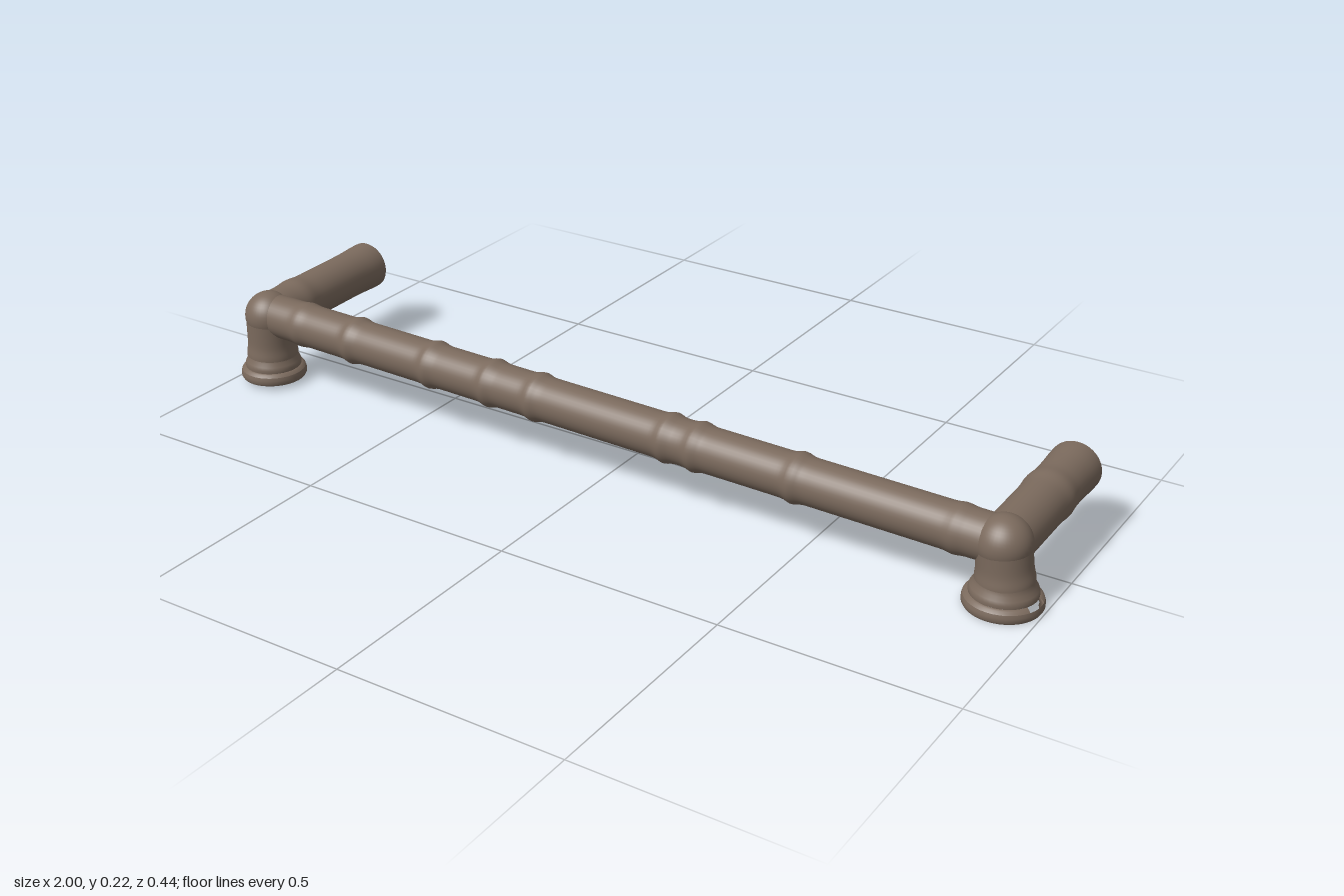
import * as THREE from 'three';

const V = (x, y, z) => new THREE.Vector3(x, y, z);

export function createModel() {
  const group = new THREE.Group();
  const metal = new THREE.MeshStandardMaterial({ color: 0x7b6a5d, side: THREE.DoubleSide });
  metal.name = 'weathered brown metal';

  const add = (name, geometry, parent = group) => {
    const mesh = new THREE.Mesh(geometry, metal);
    mesh.name = name;
    parent.add(mesh);
    return mesh;
  };
  const lathe = (pts, start = 0, length = Math.PI * 2) =>
    new THREE.LatheGeometry(pts.map(([r, y]) => new THREE.Vector2(r, y)), 40, start, length);

  // Straight pipe between two points; each swell is [distance, height, width]
  function pipe(name, from, to, radius, swells, steps) {
    const dir = to.clone().sub(from);
    const length = dir.length();
    const pts = [];
    for (let i = 0; i <= steps; i++) {
      const d = (length * i) / steps;
      let r = radius;
      for (const [at, h, w] of swells) r += h * Math.exp(-(((d - at) / w) ** 2));
      pts.push([r, d]);
    }
    const mesh = add(name, lathe(pts));
    mesh.position.copy(from);
    mesh.quaternion.setFromUnitVectors(V(0, 1, 0), dir.normalize());
    return { mesh, length, endRadius: pts[steps][0] };
  }

  // Long handrail, sloping slightly, with worn swellings along it
  const rings = [-0.81, -0.66, -0.44, -0.28, -0.16, 0.17, 0.24, 0.47, 0.82];
  pipe('handrail', V(-0.92, 0.165, 0.137), V(0.91, 0.133, 0.137), 0.049,
    rings.map((x, i) => [x + 0.92, i % 8 ? 0.0055 : 0.003, 0.014]), 240);

  // Both ends: elbow, rear arm, leg and flange
  const ends = [
    { side: 'right', x: -0.923, y: 0.163, base: 0.012, flange: 0.94, footX: -0.925, bump: 0.09 },
    { side: 'left', x: 0.909, y: 0.135, base: 0.002, flange: 1, footX: 0.917, bump: 0.21 },
  ];
  for (const { side, x, y, base, flange, footX, bump } of ends) {
    const elbow = add(side + 'Elbow', new THREE.SphereGeometry(0.0565, 40, 24));
    elbow.position.set(x, y, 0.14);

    const arm = pipe(side + 'Arm', V(x, y - 0.003, 0.14), V(x, y + 0.003, -0.212), 0.0535,
      [[bump, 0.003, 0.022], [0.34, 0.0025, 0.04]], 60);
    const r = arm.endRadius;
    add(side + 'ArmRim', lathe([[r, 0], [r - 0.003, 0.004]]), arm.mesh).position.y = arm.length;
    const cap = add(side + 'ArmCap', new THREE.CircleGeometry(r - 0.003, 40), arm.mesh);
    cap.rotation.x = -Math.PI / 2;
    cap.position.y = arm.length + 0.004;

    pipe(side + 'Leg', V(footX, base + 0.055, 0.139), V(x, y, 0.14), 0.055, [[0, 0.004, 0.02]], 24);

    // Flared collar and hollow flange, open underneath
    const foot = new THREE.Group();
    foot.name = side + 'Foot';
    foot.position.set(footX, base, 0.139);
    foot.scale.set(flange, 1, flange);
    group.add(foot);
    add('collar', lathe([[0.068, 0.027], [0.0685, 0.034], [0.066, 0.041], [0.061, 0.049],
      [0.0585, 0.058], [0.056, 0.072]]), foot);
    add('flange', lathe([[0.077, 0], [0.08, 0.005], [0.08, 0.013], [0.078, 0.02]]), foot);
    const plate = add('recessedPlate', new THREE.CircleGeometry(0.068, 40), foot);
    plate.rotation.x = Math.PI / 2;
    plate.position.y = 0.03;

    // Shoulder and inner lip; the left foot has a split on its outer side
    const split = side === 'left' ? [1.75, Math.PI * 2 - 0.65] : [0, Math.PI * 2];
    add('shoulder', lathe([[0.078, 0.02], [0.073, 0.0255], [0.068, 0.027]], ...split), foot);
    add('innerLip', lathe([[0.077, 0], [0.07, 0.002], [0.068, 0.012]], ...split), foot);
  }
  return group;
}
